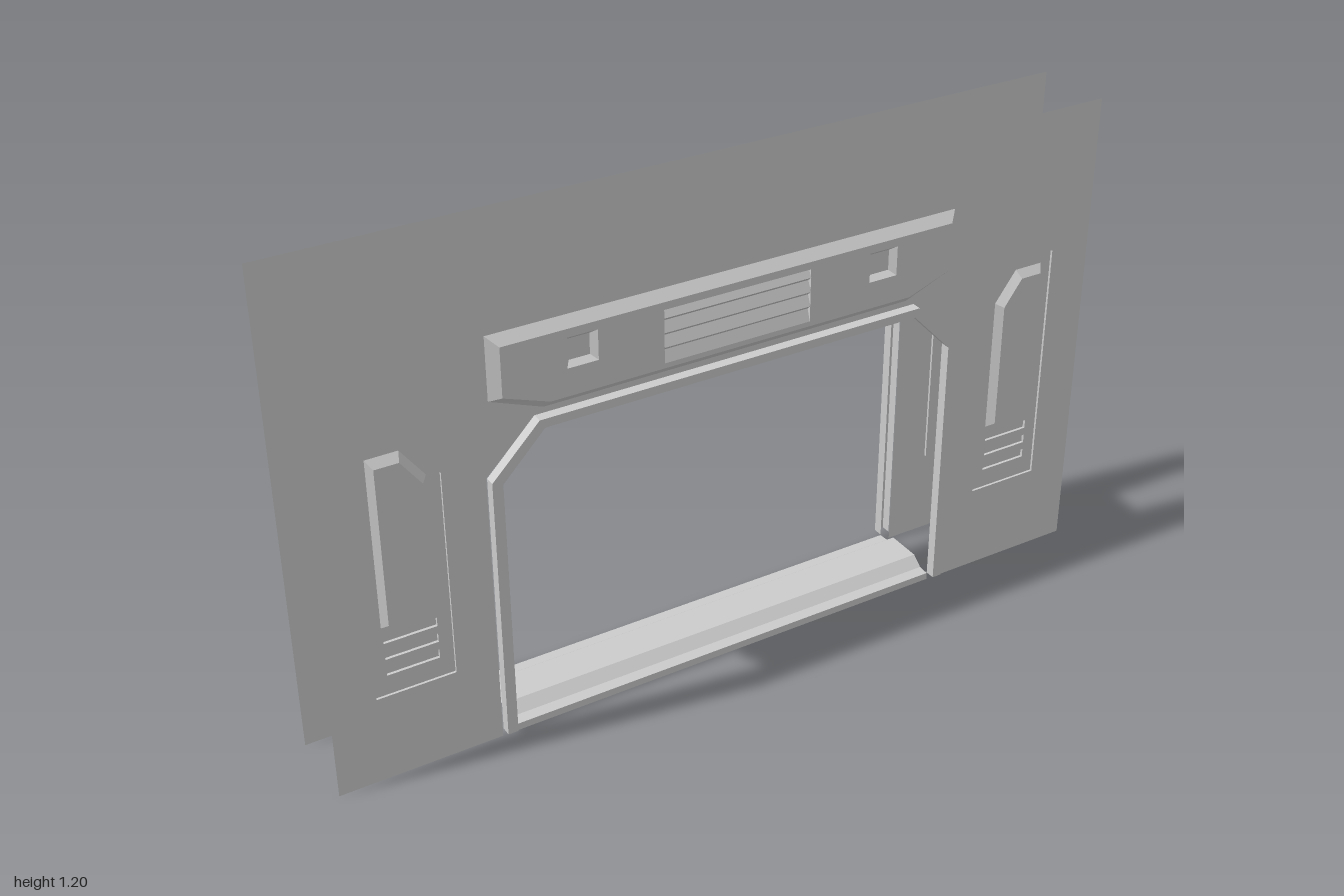
import * as THREE from 'three';

const material = new THREE.MeshStandardMaterial({ color: 0xcccccc, flatShading: true, side: THREE.DoubleSide });

const WALL = 0.1, FLOOR = 0.094; // wall plane and recess floor

function add(group, name, geometry) {
  const mesh = new THREE.Mesh(geometry, material);
  mesh.name = name;
  group.add(mesh);
  return mesh;
}

// Flat sheet facing +z with optional holes
function sheet(outline, z, holes = []) {
  const toVec = (loop) => loop.map(([x, y]) => new THREE.Vector2(x, y));
  const shape = new THREE.Shape(toVec(outline));
  shape.holes = holes.map((h) => new THREE.Path(toVec(h)));
  return new THREE.ShapeGeometry(shape).translate(0, 0, z);
}

// Strip of quads joining two rows of 3D points
function strip(a, b, closed = false) {
  const pos = [];
  const n = a.length;
  for (let i = 0; i < (closed ? n : n - 1); i++) {
    const j = (i + 1) % n;
    pos.push(...a[i], ...a[j], ...b[j], ...a[i], ...b[j], ...b[i]);
  }
  const g = new THREE.BufferGeometry();
  g.setAttribute('position', new THREE.Float32BufferAttribute(pos, 3));
  g.computeVertexNormals();
  return g;
}

const at = (loop, z) => loop.map(([x, y]) => [x, y, z]);
const band = (a, za, b, zb, closed = true) => strip(at(a, za), at(b, zb), closed);
const rect = (x0, y0, x1, y1) => [[x0, y0], [x1, y0], [x1, y1], [x0, y1]];
const flip = (loop) => loop.map(([x, y]) => [-x, y]).reverse();

// Profile in (z, y) swept straight along x
const sweep = (profile, halfX) => strip(
  profile.map(([z, y]) => [-halfX, y, z]),
  profile.map(([z, y]) => [halfX, y, z]));

// Panel with its upper corner cut on the side of the doorway (for +x)
const cutPanel = (x0, y0, x1, y1, cx, cy) => [[x0, y0], [x1, y0], [x1, y1], [x0 + cx, y1], [x0, y1 - cy]];

// Doorway arch with 45 degree upper corners
const arch = (x, y0, ySide, xTop, yTop) =>
  [[-x, y0], [-x, ySide], [-xTop, yTop], [xTop, yTop], [x, ySide], [x, y0]];

// Header outline with its lower corners cut
const headerLoop = (x, top, side, xLow, low) =>
  [[-xLow, low], [xLow, low], [x, side], [x, top], [-x, top], [-x, side]];

function sidePanel(mirror) {
  const g = new THREE.Group();
  g.name = mirror ? 'rightSidePanel' : 'leftSidePanel';
  const m = (loop) => (mirror ? flip(loop) : loop);
  const recess = m(cutPanel(0.705, 0.22, 0.893, 0.838, 0.095, 0.105));
  const base = m(cutPanel(0.735, 0.395, 0.865, 0.81, 0.055, 0.075));
  const top = m(cutPanel(0.75, 0.408, 0.853, 0.792, 0.047, 0.065));
  const slots = [0.28, 0.322, 0.364].map((y) => m(rect(0.738, y - 0.011, 0.862, y + 0.011)));

  add(g, 'recessEdge', band(recess, WALL, recess, FLOOR));
  add(g, 'recessFloor', sheet(recess, FLOOR, [base, ...slots]));
  add(g, 'raisedBevel', band(base, FLOOR, top, 0.111));
  add(g, 'raisedFace', sheet(top, 0.111));
  for (const s of slots) {
    add(g, 'slotEdge', band(s, FLOOR, s, 0.087));
    add(g, 'slotFloor', sheet(s, 0.087));
  }
  return { group: g, recess };
}

function header() {
  const g = new THREE.Group();
  g.name = 'header';
  const Z = 0.122;
  const outer = headerLoop(0.59, 1.018, 0.866, 0.465, 0.817);
  const inner = headerLoop(0.567, 0.996, 0.878, 0.458, 0.838);
  const lamps = [-0.38, 0.38].map((x) => ({
    mouth: rect(x - 0.037, 0.904, x + 0.037, 0.976),
    floor: rect(x - 0.025, 0.914, x + 0.025, 0.964),
  }));
  const vent = rect(-0.185, 0.85, 0.185, 0.978);

  add(g, 'headerBevel', band(outer, WALL, inner, Z));
  add(g, 'headerFace', sheet(inner, Z, [vent, ...lamps.map((l) => l.mouth)]));
  for (const l of lamps) {
    add(g, 'lampRecess', band(l.mouth, Z, l.floor, 0.106));
    add(g, 'lampFloor', sheet(l.floor, 0.106));
  }

  // Overlapping vent slats, each leaning out to its lower edge
  const slats = [[0.112, 0.978]];
  for (const y of [0.958, 0.923, 0.888]) slats.push([0.123, y], [0.112, y - 0.01]);
  slats.push([0.122, 0.85]);
  add(g, 'ventEdge', band(vent, Z, vent, 0.111));
  add(g, 'ventSlats', sweep(slats, 0.185));
  return g;
}

// One face of the gate: wall, side panels, doorway trim and header
function gateFace(name) {
  const g = new THREE.Group();
  g.name = name;
  const panels = [sidePanel(false), sidePanel(true)];
  const outer = arch(0.603, 0.02, 0.685, 0.487, 0.803);
  const inner = arch(0.578, 0.02, 0.675, 0.475, 0.782);

  const wallOutline = [[-1, 0], ...arch(0.605, 0, 0.685, 0.487, 0.803), [1, 0], [1, 1.2], [-1, 1.2]];
  add(g, 'wall', sheet(wallOutline, WALL, panels.map((p) => p.recess)));
  g.add(...panels.map((p) => p.group));

  add(g, 'trimOuterSide', band(outer, WALL, outer, 0.125, false));
  add(g, 'trimFront', band(outer, 0.125, inner, 0.125, false));
  add(g, 'trimInnerSide', band(inner, 0.125, inner, WALL, false));
  g.add(header());
  return g;
}

export function createModel() {
  const model = new THREE.Group();
  model.name = 'gateway';

  const back = gateFace('backFace');
  back.rotation.y = Math.PI;
  model.add(gateFace('frontFace'), back);

  // Threshold and lintel share a stepped profile through the doorway
  const half = [[0.1, 0], [0.1, 0.018], [0.072, 0.02], [0.045, 0.042]];
  const profile = [...half, ...half.map(([z, y]) => [-z, y]).reverse()];
  add(model, 'threshold', sweep(profile, 0.578));
  add(model, 'lintel', sweep(profile.map(([z, y]) => [z, 0.8 - y]), 0.615));
  return model;
}
